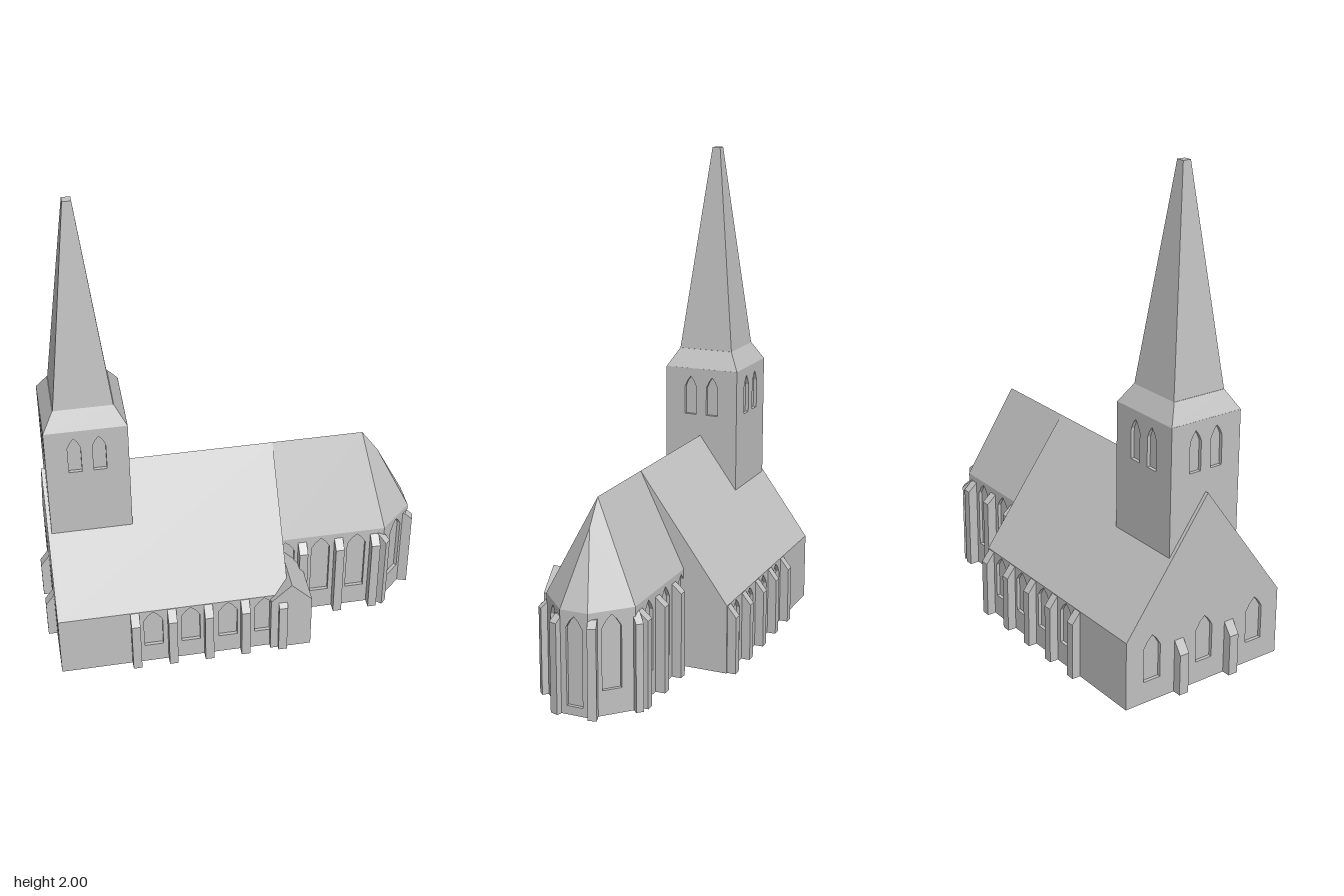
import * as THREE from 'three';

const stone = new THREE.MeshStandardMaterial({ color: 0xc0c0c0 });
stone.name = 'grey stone';
const T = 0.016; // wall thickness, also the depth of the window recesses

const shapeOf = (pts) => new THREE.Shape(pts.map(([x, y]) => new THREE.Vector2(x, y)));

function add(parent, name, geometry) {
  const mesh = new THREE.Mesh(geometry, stone);
  mesh.name = name;
  parent.add(mesh);
  return mesh;
}

// Flat-shaded surface from planar polygons, corners counter-clockwise from outside
function polygons(list) {
  const pos = [];
  for (const p of list)
    for (let i = 1; i < p.length - 1; i++) pos.push(...p[0], ...p[i], ...p[i + 1]);
  const g = new THREE.BufferGeometry();
  g.setAttribute('position', new THREE.Float32BufferAttribute(pos, 3));
  g.computeVertexNormals();
  return g;
}

const mirrorZ = (p) => p.map(([x, y, z]) => [x, y, -z]).reverse();

function flat(geometry) {
  const g = geometry.toNonIndexed();
  g.computeVertexNormals();
  return g;
}

// Pointed-arch outline centred on u
const arch = ([u, w, y0, spring, apex]) => [
  [u - w / 2, y0], [u + w / 2, y0], [u + w / 2, spring],
  [u + w * 0.27, spring + (apex - spring) * 0.58], [u, apex],
  [u - w * 0.27, spring + (apex - spring) * 0.58], [u - w / 2, spring],
];

// Wall running from a to b (plan x, z); outside lies on the right-hand side of travel
function wall(parent, name, a, b, y0, y1, windows = [], gable = 0) {
  const dx = b[0] - a[0], dz = b[1] - a[1], len = Math.hypot(dx, dz);
  const group = new THREE.Group();
  group.name = name;
  group.position.set(a[0], 0, a[1]);
  group.rotation.y = Math.atan2(-dz, dx);
  parent.add(group);
  const outline = [[0, y0], [len, y0], [len, y1]];
  if (gable) outline.push([len / 2, gable]);
  outline.push([0, y1]);
  const shape = shapeOf(outline);
  for (const w of windows) {
    shape.holes.push(shapeOf(arch(w)));
    add(group, 'windowPane', new THREE.ShapeGeometry(shapeOf(arch(w)))).position.z = -T + 0.002;
  }
  add(group, 'wallPanel', new THREE.ExtrudeGeometry(shape, { depth: T, bevelEnabled: false })).position.z = -T;
}

// Buttress with a sloped top, standing at (x, z) and pointing along (ox, oz)
function buttress(parent, x, z, ox, oz, depth, high, low, width = 0.036) {
  const g = new THREE.ExtrudeGeometry(
    shapeOf([[-0.02, 0], [depth, 0], [depth, low], [0, high], [-0.02, high]]),
    { depth: width, bevelEnabled: false });
  g.translate(0, 0, -width / 2);
  const m = add(parent, 'buttress', g);
  m.position.set(x, 0, z);
  m.rotation.y = Math.atan2(-oz, ox);
}

function floor(parent, pts) {
  add(parent, 'floor', new THREE.ShapeGeometry(shapeOf(pts))).rotation.x = Math.PI / 2;
}

function part(root, name) {
  const g = new THREE.Group();
  g.name = name;
  root.add(g);
  return g;
}

export function createModel() {
  const root = new THREE.Group();
  root.name = 'church';
  const RIDGE = 0.79;

  // Nave
  const nave = part(root, 'nave');
  const W = -0.76, E = 0.19, NZ = 0.37, NE = 0.283;
  const naveX = [-0.373, -0.218, -0.062, 0.09];
  const naveWin = (u) => [u, 0.078, 0.09, 0.23, 0.276];
  wall(nave, 'frontNaveWall', [W, NZ], [E, NZ], 0, NE, naveX.map((x) => naveWin(x - W)));
  wall(nave, 'backNaveWall', [E, -NZ], [W, -NZ], 0, NE, naveX.map((x) => naveWin(E - x)));
  wall(nave, 'westGable', [W, -NZ], [W, NZ], 0, NE,
    [0.12, NZ, 2 * NZ - 0.12].map((u) => [u, 0.078, 0.09, 0.23, 0.28]), RIDGE);
  wall(nave, 'eastGable', [E, NZ], [E, -NZ], 0, NE, [], RIDGE);
  const naveSlope = [[W, NE, NZ], [E, NE, NZ], [E, RIDGE, 0], [W, RIDGE, 0]];
  add(nave, 'naveRoof', polygons([naveSlope, mirrorZ(naveSlope)]));
  floor(nave, [[W, -NZ], [E, -NZ], [E, NZ], [W, NZ]]);
  for (const s of [1, -1]) {
    for (const x of [-0.448, -0.296, -0.145, 0.008, 0.165])
      buttress(nave, x, s * NZ, 0, s, 0.036, 0.28, 0.235);
    buttress(nave, W, s * 0.122, -1, 0, 0.036, 0.22, 0.17, 0.042);
  }

  // Choir with a three-sided apse
  const choir = part(root, 'choir');
  const CZ = 0.185, CE = 0.41, AX = 0.64, BX = 0.777, BZ = 0.057;
  const choirX = [0.215, 0.367, 0.522];
  const choirWin = (u) => [u, 0.078, 0.1, 0.345, 0.395];
  const C0 = E - 0.03;
  wall(choir, 'frontChoirWall', [C0, CZ], [AX, CZ], 0, CE, choirX.map((x) => choirWin(x - C0)));
  wall(choir, 'backChoirWall', [AX, -CZ], [C0, -CZ], 0, CE, choirX.map((x) => choirWin(AX - x)));
  const side = Math.hypot(BX - AX, CZ - BZ);
  wall(choir, 'frontApseWall', [AX, CZ], [BX, BZ], 0, CE, [choirWin(side / 2)]);
  wall(choir, 'backApseWall', [BX, -BZ], [AX, -CZ], 0, CE, [choirWin(side / 2)]);
  wall(choir, 'eastApseWall', [BX, BZ], [BX, -BZ], 0, CE, [[BZ, 0.066, 0.035, 0.345, 0.39]]);
  const tip = [0.57, RIDGE, 0], knee = [AX, 0.69, 0];
  const slope = [[E, CE, CZ], [AX, CE, CZ], tip, [E, RIDGE, 0]];
  const hip = [tip, [AX, CE, CZ], [BX, CE, BZ], knee];
  add(choir, 'choirRoof', polygons([
    slope, mirrorZ(slope), hip, mirrorZ(hip),
    [knee, [BX, CE, BZ], [BX, CE, -BZ]],
  ]));
  floor(choir, [[E, -CZ], [AX, -CZ], [BX, -BZ], [BX, BZ], [AX, CZ], [E, CZ]]);
  for (const s of [1, -1]) {
    for (const x of [0.287, 0.443, 0.598])
      buttress(choir, x, s * CZ, 0, s, 0.04, 0.385, 0.35);
    buttress(choir, 0.625, s * (CZ - 0.005), 0.7, s * 0.72, 0.04, 0.385, 0.35, 0.03);
    buttress(choir, BX - 0.012, s * 0.07, 0.9, s * 0.3, 0.03, 0.385, 0.36, 0.034);
  }

  // Gabled porch in the corner between nave and choir
  const porch = part(root, 'porch');
  add(porch, 'porchBody', new THREE.ExtrudeGeometry(
    shapeOf([[0.115, 0], [0.287, 0], [0.287, 0.255], [0.2, 0.346], [0.115, 0.265]]),
    { depth: 0.215, bevelEnabled: false })).position.z = 0.175;

  // Tower with paired belfry openings on every side
  const tower = part(root, 'tower');
  const X0 = -0.745, X1 = -0.417, Z0 = -0.165, Z1 = 0.157, TOP = 1.08;
  const corners = [[X0, Z1], [X1, Z1], [X1, Z0], [X0, Z0]];
  corners.forEach((a, i) => {
    const b = corners[(i + 1) % 4];
    const mid = Math.hypot(b[0] - a[0], b[1] - a[1]) / 2;
    wall(tower, 'towerWall', a, b, 0.3, TOP,
      [-0.049, 0.049].map((o) => [mid + o, 0.052, 0.88, 1.0, 1.045]));
  });

  // Spire: flared skirt and tall tapering cap
  const spire = part(root, 'spire');
  spire.position.set((X0 + X1) / 2, 0, (Z0 + Z1) / 2);
  const frustum = (name, h0, h1, y0, y1) => {
    const g = flat(new THREE.CylinderGeometry(h1 * Math.SQRT2, h0 * Math.SQRT2, y1 - y0, 4, 1, false, Math.PI / 4));
    g.translate(0, (y0 + y1) / 2, 0);
    return add(spire, name, g);
  };
  frustum('spireSkirt', 0.161, 0.117, TOP, 1.155).scale.x = 1.015;
  frustum('spireCap', 0.117, 0.017, 1.155, 2);

  return root;
}
